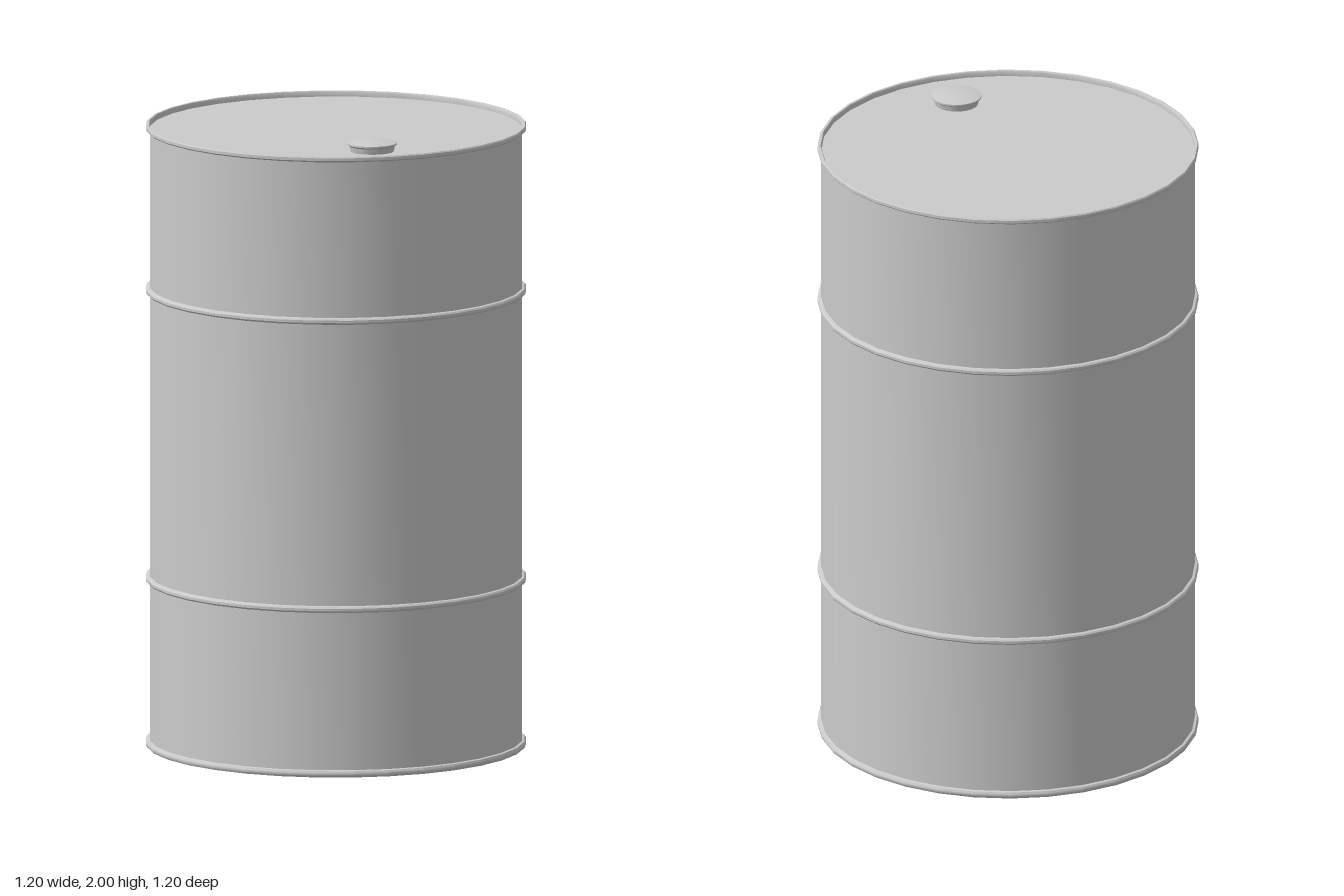
import * as THREE from 'three';
import { toCreasedNormals } from 'three/addons/utils/BufferGeometryUtils.js';

const SIDES = 32;
const BODY_R = 0.588;
const RING_R = 0.6;

export function createModel() {
  const group = new THREE.Group();
  const material = new THREE.MeshStandardMaterial({ color: 0xcccccc });

  // Revolve a bottom-to-top profile of [radius, height] points
  const addLathe = (name, profile, sides = SIDES) => {
    const points = profile.map(([r, y]) => new THREE.Vector2(r, y));
    const geometry = toCreasedNormals(new THREE.LatheGeometry(points, sides), 0.6);
    const mesh = new THREE.Mesh(geometry, material);
    mesh.name = name;
    group.add(mesh);
    return mesh;
  };

  // Drum wall with flat base, top lip and slightly sunken lid
  addLathe('drumBody', [
    [0, 0.002], [BODY_R, 0.002], [BODY_R, 1.975],
  ]);
  addLathe('lid', [[BODY_R, 1.965], [0, 1.965]]);

  // Chimes at both ends
  addLathe('bottomRim', [
    [BODY_R, 0], [0.596, 0], [RING_R, 0.006], [RING_R, 0.014], [0.596, 0.02], [BODY_R, 0.022],
  ]);
  addLathe('topRim', [
    [BODY_R, 1.964], [0.596, 1.966], [RING_R, 1.97], [RING_R, 1.979],
    [0.597, 1.983], [0.59, 1.983], [BODY_R, 1.98], [BODY_R, 1.965],
  ]);

  // Rolling hoops around the wall
  [['lowerHoop', 0.535], ['upperHoop', 1.456]].forEach(([name, y]) => {
    addLathe(name, [
      [BODY_R, y - 0.011], [0.596, y - 0.009], [RING_R, y - 0.004],
      [RING_R, y + 0.004], [0.596, y + 0.009], [BODY_R, y + 0.011],
    ]);
  });

  // Domed filler cap near the front edge of the lid
  const cap = addLathe('fillerCap', [
    [0.068, 1.965], [0.072, 1.982], [0.078, 1.987], [0.078, 1.992],
    [0.06, 1.996], [0.03, 1.999], [0, 2],
  ]);
  cap.position.z = 0.405;

  return group;
}
